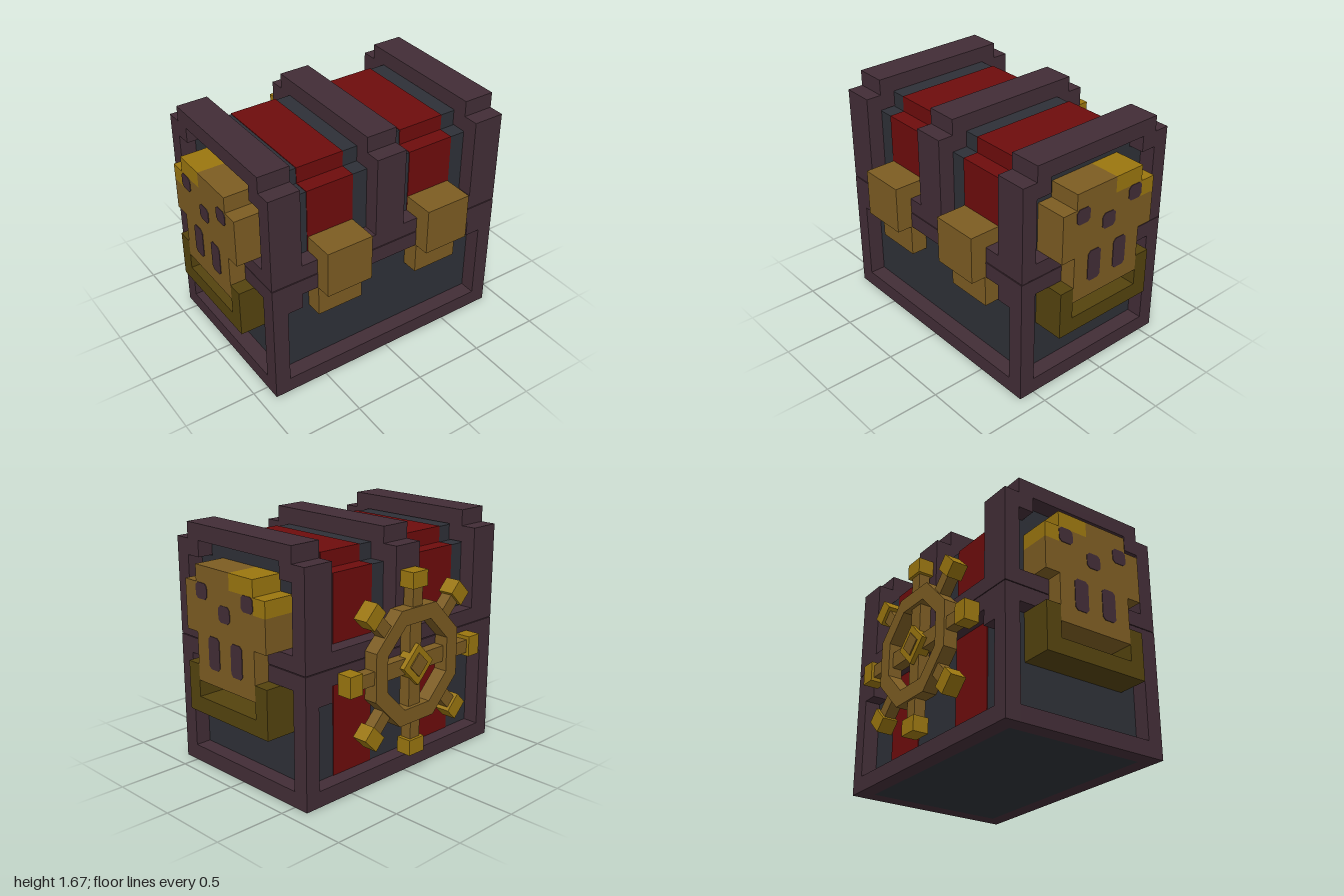
import * as THREE from 'three';

const mat = (name, color) => {
  const m = new THREE.MeshStandardMaterial({ color });
  m.name = name;
  return m;
};

export function createModel() {
  const wood = mat('plum frame', 0x422d36);
  const panel = mat('slate panel', 0x2e3037);
  const red = mat('red stripe', 0x6e0c0c);
  const brass = mat('brass', 0x7c5c22);
  const gold = mat('bright gold', 0x9a760f);
  const darkGold = mat('dark gold', 0x54430e);

  const model = new THREE.Group();
  model.name = 'chest';
  const group = (name, parent = model) => {
    const g = new THREE.Group();
    g.name = name;
    parent.add(g);
    return g;
  };
  const add = (parent, name, geo, m) => {
    const mesh = new THREE.Mesh(geo, m);
    mesh.name = name;
    parent.add(mesh);
    return mesh;
  };
  // Box given by its minimum and maximum on each axis
  const box = (parent, name, m, x0, x1, y0, y1, z0, z1) => {
    const mesh = add(parent, name, new THREE.BoxGeometry(x1 - x0, y1 - y0, z1 - z0), m);
    mesh.position.set((x0 + x1) / 2, (y0 + y1) / 2, (z0 + z1) / 2);
    return mesh;
  };
  const points = (list) => list.map(([x, y]) => new THREE.Vector2(x, y));
  const extrude = (shape, depth) => new THREE.ExtrudeGeometry(shape, { depth, bevelEnabled: false });

  // ---- Base ----
  const base = group('base');
  box(base, 'basePanels', panel, -0.78, 0.78, 0, 0.885, -0.5, 0.5);
  const frontFrame = new THREE.Shape(points([[-0.89, 0], [0.89, 0], [0.89, 0.89], [-0.89, 0.89]]));
  frontFrame.holes.push(new THREE.Path(points([
    [-0.78, 0.11], [-0.78, 0.67], [-0.67, 0.67], [-0.67, 0.78],
    [0.67, 0.78], [0.67, 0.67], [0.78, 0.67], [0.78, 0.11],
  ])));
  add(base, 'frontFrame', extrude(frontFrame, 0.112), wood).position.z = 0.5;
  add(base, 'backFrame', extrude(frontFrame, 0.11), wood).position.z = -0.61;
  for (const s of [-1, 1]) {
    const x0 = s > 0 ? 0.78 : -0.89;
    box(base, 'sideSill', wood, x0, x0 + 0.11, 0, 0.11, -0.5, 0.5);
    box(base, 'sideRail', wood, x0, x0 + 0.11, 0.78, 0.89, -0.5, 0.5);
    box(base, 'backStripe', red, s * 0.39 - 0.17, s * 0.39 + 0.17, 0.11, 0.78, -0.506, -0.5);
  }

  // ---- Lid: one stepped arch profile at different sizes ----
  const lid = group('lid');
  const arch = (half, bottom, top) => points([
    [-half, bottom], [half, bottom], [half, top - 0.11], [half - 0.11, top - 0.11],
    [half - 0.11, top], [-half + 0.11, top], [-half + 0.11, top - 0.11], [-half, top - 0.11],
  ]);
  const alongX = (name, shape, x0, x1, m) => {
    const mesh = add(lid, name, extrude(shape, x1 - x0), m);
    mesh.rotation.y = Math.PI / 2;
    mesh.position.x = x0;
  };
  alongX('lidPanels', new THREE.Shape(arch(0.5, 0.9, 1.555)), -0.78, 0.78, panel);
  alongX('middleBand', new THREE.Shape(arch(0.61, 0.895, 1.67)), -0.11, 0.11, wood);
  const endFrame = new THREE.Shape(arch(0.61, 0.895, 1.67));
  endFrame.holes.push(new THREE.Path(arch(0.5, 1.0, 1.56)));
  for (const s of [-1, 1]) {
    alongX('endFrame', endFrame, s > 0 ? 0.67 : -0.89, s > 0 ? 0.89 : -0.67, wood);
    alongX('lidStripe', new THREE.Shape(arch(0.505, 0.95, 1.56)), s * 0.39 - 0.17, s * 0.39 + 0.17, red);
    for (const z of [-0.61, 0.5]) {
      box(lid, 'lidRail', wood, s > 0 ? 0.11 : -0.67, s > 0 ? 0.67 : -0.11, 0.895, 1.0, z, z + 0.11);
    }
  }

  // ---- Latches ----
  for (const s of [-1, 1]) {
    const latch = group('latch');
    const c = s * 0.388;
    box(latch, 'latchClasp', brass, c - 0.167, c + 0.167, 0.78, 1.11, 0.5, 0.725);
    box(latch, 'latchTongue', brass, c - 0.167, c + 0.167, 0.56, 0.78, 0.5, 0.618);
  }

  // ---- Skull plates on both ends ----
  const chamfered = (w, h) => {
    const a = w / 2, b = h / 2, k = 0.02;
    return new THREE.Shape(points([
      [-a + k, -b], [a - k, -b], [a, -b + k], [a, b - k],
      [a - k, b], [-a + k, b], [-a, b - k], [-a, -b + k],
    ]));
  };
  for (const s of [-1, 1]) {
    const skull = group('skull');
    const slab = (name, m, y0, y1, z0, z1) =>
      box(skull, name, m, s > 0 ? 0.78 : -1, s > 0 ? 1 : -0.78, y0, y1, z0, z1);
    slab('crown', brass, 1.335, 1.447, -0.05, 0.28);
    slab('crownShine', gold, 1.335, 1.447, -0.275, -0.05);
    slab('brow', brass, 1.225, 1.335, -0.275, 0.39);
    slab('browShine', gold, 1.225, 1.335, -0.385, -0.275);
    slab('face', brass, 1.0, 1.225, -0.385, 0.39);
    slab('upperJaw', brass, 0.67, 1.0, -0.275, 0.285);
    slab('lowerJaw', darkGold, 0.445, 0.555, -0.385, 0.39);
    slab('jawSide', darkGold, 0.555, 0.78, 0.285, 0.39);
    slab('jawSide', darkGold, 0.555, 0.78, -0.385, -0.275);
    const hollow = (name, y, z, w, h) => {
      const mesh = add(skull, name, extrude(chamfered(w, h), 0.004), wood);
      mesh.rotation.y = s * Math.PI / 2;
      mesh.position.set(s, y, z);
    };
    hollow('eye', 1.282, 0.225, 0.11, 0.106);
    hollow('eye', 1.282, -0.22, 0.11, 0.106);
    hollow('nose', 1.17, 0.003, 0.11, 0.11);
    hollow('toothGap', 0.89, 0.116, 0.108, 0.22);
    hollow('toothGap', 0.89, -0.106, 0.108, 0.22);
  }

  // ---- Wheel on the back ----
  const wheel = group('wheel');
  wheel.position.set(0, 0.78, -0.61);
  const octagon = (apothem) => points(Array.from({ length: 8 }, (_, i) => {
    const a = (i + 0.5) * Math.PI / 4, r = apothem / Math.cos(Math.PI / 8);
    return [r * Math.cos(a), r * Math.sin(a)];
  }));
  const ring = new THREE.Shape(octagon(0.39));
  ring.holes.push(new THREE.Path(octagon(0.285)));
  add(wheel, 'rim', extrude(ring, 0.1), brass).position.z = -0.105;
  for (let i = 0; i < 8; i++) {
    const handle = group('handle', wheel);
    handle.rotation.z = i * Math.PI / 4;
    box(handle, 'neck', brass, -0.045, 0.045, 0.38, 0.52, -0.09, -0.01);
    box(handle, 'knob', gold, -0.07, 0.07, 0.515, 0.622, -0.11, 0);
  }
  box(wheel, 'uprightSpoke', brass, -0.055, 0.055, -0.3, 0.3, -0.08, 0);
  box(wheel, 'crossSpoke', brass, -0.3, 0.3, -0.055, 0.055, -0.075, 0);
  const hub = group('hub', wheel);
  hub.rotation.z = Math.PI / 4;
  box(hub, 'hubPlate', gold, -0.1, 0.1, -0.1, 0.1, -0.11, -0.02);
  box(hub, 'hubCap', brass, -0.058, 0.058, -0.058, 0.058, -0.118, -0.1);

  return model;
}
